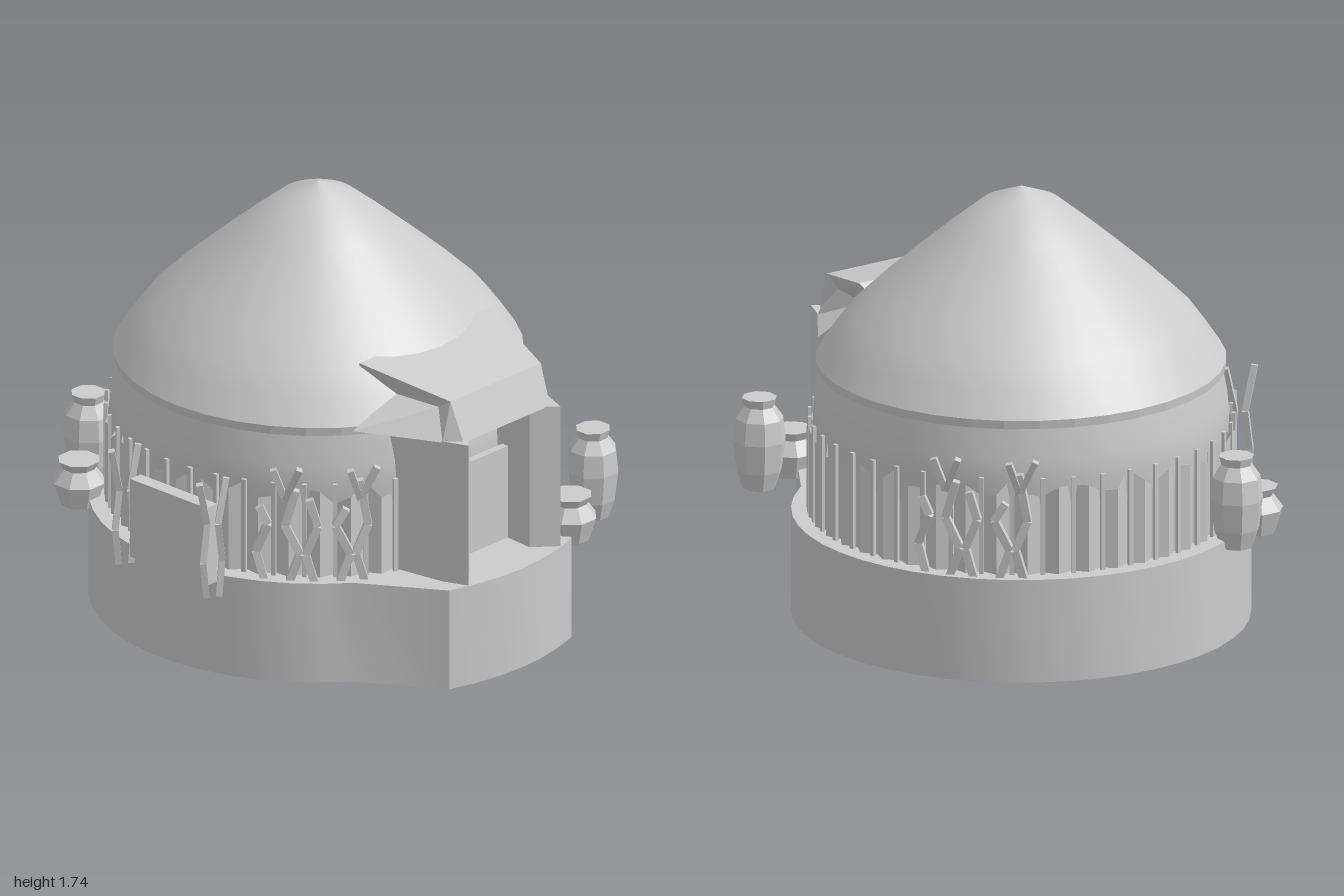
import * as THREE from 'three';
import { toCreasedNormals } from 'three/addons/utils/BufferGeometryUtils.js';

const smooth = new THREE.MeshStandardMaterial({ color: 0xcccccc, side: THREE.DoubleSide });
const flat = new THREE.MeshStandardMaterial({ color: 0xcccccc, side: THREE.DoubleSide, flatShading: true });
const V = (x, y, z) => new THREE.Vector3(x, y, z);

function add(parent, name, geometry, material = flat) {
  const mesh = new THREE.Mesh(geometry, material);
  mesh.name = name;
  parent.add(mesh);
  return mesh;
}

// Surface of separate four-cornered faces
function quads(list) {
  const pos = [];
  for (const [a, b, c, d] of list) for (const p of [a, b, c, a, c, d]) pos.push(p.x, p.y, p.z);
  const g = new THREE.BufferGeometry();
  g.setAttribute('position', new THREE.Float32BufferAttribute(pos, 3));
  g.computeVertexNormals();
  return g;
}

function lathe(profile, sides) {
  return new THREE.LatheGeometry(profile.map(([r, y]) => new THREE.Vector2(r, y)), sides);
}

// Crooked four-sided branch through the given points
function branch(parent, name, points, radius) {
  const group = new THREE.Group();
  group.name = name;
  for (let i = 0; i < points.length - 1; i++) {
    const dir = points[i + 1].clone().sub(points[i]);
    const m = add(group, 'branchPiece', new THREE.CylinderGeometry(radius, radius, dir.length(), 4));
    m.position.copy(points[i]).addScaledVector(dir, 0.5);
    m.quaternion.setFromUnitVectors(V(0, 1, 0), dir.normalize());
  }
  parent.add(group);
}

// Hollow plinth: round, with a flared tongue at the front
function addPlinth(parent) {
  const pts = [], R = 0.895, a0 = 0.66, H = 0.42;
  for (let i = 0; i <= 36; i++) {
    const a = a0 + (2 * Math.PI - 2 * a0) * i / 36;
    pts.push([R * Math.sin(a), R * Math.cos(a)]);
  }
  for (let i = 0; i <= 6; i++) {
    const x = -0.345 + 0.69 * i / 6;
    pts.push([x, 1.09 - 0.06 * (x / 0.345) ** 2]);
  }
  const wall = pts.map(([x, z], i) => {
    const [u, w] = pts[(i + 1) % pts.length];
    return [V(u, 0, w), V(x, 0, z), V(x, H, z), V(u, H, w)];
  });
  add(parent, 'plinthWall', toCreasedNormals(quads(wall), 0.5), smooth);
  const top = new THREE.ShapeGeometry(new THREE.Shape(pts.map(([x, z]) => new THREE.Vector2(x, -z))));
  add(parent, 'plinthFloor', top.rotateX(-Math.PI / 2).translate(0, H, 0));
}

// Pleated fence with thin stakes, open at the porch
function addFence(parent) {
  const N = 74, start = 0.44, faces = [];
  const rim = (i, r, y) => {
    const a = start + (2 * Math.PI - 2 * start) * i / N;
    return V(r * Math.sin(a), y, r * Math.cos(a));
  };
  const radius = i => (i % 2 ? 0.835 : 0.8);
  const height = i => [0.79, 0.765, 0.73, 0.76][i % 4] + 0.02 * Math.sin(i * 2.3);
  for (let i = 0; i < N; i++) {
    faces.push([rim(i, radius(i), 0.41), rim(i + 1, radius(i + 1), 0.41),
      rim(i + 1, radius(i + 1), height(i + 1)), rim(i, radius(i), height(i))]);
  }
  add(parent, 'fence', quads(faces));
  for (let i = 0; i <= N; i += 2) {
    const stake = add(parent, 'fenceStake', new THREE.BoxGeometry(0.018, 0.4, 0.014));
    stake.position.copy(rim(i, 0.825, 0.612));
    stake.lookAt(0, 0.612, 0);
  }
}

// Porch: two splayed side walls, a recessed door and a flared hood
function addPorch(parent) {
  for (const s of [1, -1]) {
    const plan = [[0.34, 0.7], [0.3, 0.95], [0.26, 1.05], [0.17, 0.97], [0.19, 0.72]];
    const shape = new THREE.Shape(plan.map(([x, z]) => new THREE.Vector2(s * x, -z)));
    const g = new THREE.ExtrudeGeometry(shape, { depth: 0.61, bevelEnabled: false });
    add(parent, 'porchWall', g.rotateX(-Math.PI / 2).translate(0, 0.405, 0));
  }
  add(parent, 'door', new THREE.BoxGeometry(0.36, 0.4, 0.03)).position.set(0, 0.61, 0.83);

  const faces = [];
  const P = (s, k) => {
    const [x, y, z] = {
      backTop: [0.37, 1.255, 0.57], frontTop: [0.255, 1.17, 0.95], lip: [0.245, 1.01, 1.01],
      backWaist: [0.28, 1.13, 0.67], frontWaist: [0.25, 1.125, 0.88],
      backEave: [0.5, 1.035, 0.66], frontEave: [0.3, 1.01, 0.95], inner: [0.28, 1.14, 0.5],
    }[k];
    return V(s * x, y, z);
  };
  const across = (a, b) => faces.push([P(-1, a), P(1, a), P(1, b), P(-1, b)]);
  across('frontTop', 'backTop');
  across('lip', 'frontTop');
  across('frontEave', 'lip');
  across('backWaist', 'frontEave');
  across('backTop', 'inner');
  for (const s of [1, -1]) {
    const side = (...keys) => {
      const f = keys.map(k => P(s, k));
      faces.push(s > 0 ? f : f.reverse());
    };
    side('frontWaist', 'backWaist', 'backTop', 'frontTop');
    side('frontEave', 'backEave', 'backWaist', 'frontWaist');
    side('lip', 'frontEave', 'frontWaist', 'frontTop');
    side('backWaist', 'inner', 'inner', 'backTop');
  }
  add(parent, 'porchHood', quads(faces));
}

// Bent and forked branches leaning on the fence
function addBranches(parent, turn) {
  const group = new THREE.Group();
  group.name = 'branchCluster';
  for (let i = 0; i < 5; i++) {
    const a = -0.6 - i * 0.115, r = 0.855;
    const at = (da, y, dr = 0) => V((r + dr) * Math.sin(a + da), y, (r + dr) * Math.cos(a + da));
    const h = [0.84, 0.72, 0.76, 0.8, 0.72][i], lean = i % 2 ? 0.05 : -0.04;
    branch(group, 'branch', [at(0, 0.41), at(lean, 0.53), at(-lean * 0.4, 0.65), at(lean * 0.6, h)], 0.022);
    if (i % 3 === 0) {
      branch(group, 'fork', [at(-0.02, 0.76), at(0.05, 0.9, 0.03)], 0.018);
      branch(group, 'fork', [at(-0.02, 0.76), at(-0.07, 0.89, 0.02)], 0.018);
    }
  }
  group.rotation.y = turn;
  parent.add(group);
}

// Board hung between two pairs of bowed poles
function addRack(parent) {
  const rack = new THREE.Group();
  rack.name = 'rack';
  for (const z of [-0.25, 0.22]) {
    for (const s of [1, -1]) {
      const path = [[0.02, 0.37], [0.038, 0.52], [0.015, 0.68], [0.06, 0.86]];
      branch(rack, 'rackPole', path.map(([x, y]) => V(s * x, y, z + s * 0.015)), 0.018);
    }
  }
  add(rack, 'rackBoard', new THREE.BoxGeometry(0.06, 0.33, 0.41)).position.set(0.012, 0.58, 0);
  rack.position.set(-0.88, 0, 0);
  parent.add(rack);
}

const tallPot = [[0, 0.385], [0.065, 0.385], [0.09, 0.46], [0.105, 0.58], [0.095, 0.67], [0.06, 0.72], [0.07, 0.755], [0, 0.755]];
const smallPot = [[0, 0.38], [0.075, 0.38], [0.105, 0.475], [0.065, 0.53], [0.085, 0.565], [0, 0.565]];

export function createModel() {
  const model = new THREE.Group();
  model.name = 'hut';

  // Round hut, built about its own axis
  const hut = new THREE.Group();
  hut.name = 'hutBody';
  hut.position.set(0.055, 0, -0.1);
  model.add(hut);
  addPlinth(hut);
  add(hut, 'hutWall', lathe([[0.765, 0.42], [0.795, 0.6], [0.812, 0.78], [0.805, 0.88], [0.78, 1.01]], 36), smooth);
  add(hut, 'roofRim', lathe([[0.76, 1.005], [0.797, 1.005], [0.8, 1.04]], 36));
  add(hut, 'roof', lathe([[0.8, 1.04], [0.74, 1.13], [0.67, 1.225], [0.55, 1.34], [0.42, 1.455],
    [0.28, 1.575], [0.15, 1.68], [0, 1.74]], 36), smooth);
  addFence(hut);
  addPorch(hut);
  addBranches(hut, 0);
  addBranches(hut, Math.PI);

  addRack(model);

  // Eight-sided pots in pairs
  for (const [profile, x, z, name] of [[smallPot, 0.47, 0.86, 'smallPot'], [tallPot, 0.68, 0.78, 'tallPot'],
    [smallPot, -0.6, -0.76, 'smallPot'], [tallPot, -0.42, -0.88, 'tallPot']]) {
    const pot = add(model, name, lathe(profile, 8));
    pot.position.set(x, 0, z);
    pot.rotation.y = Math.PI / 8;
  }
  return model;
}
